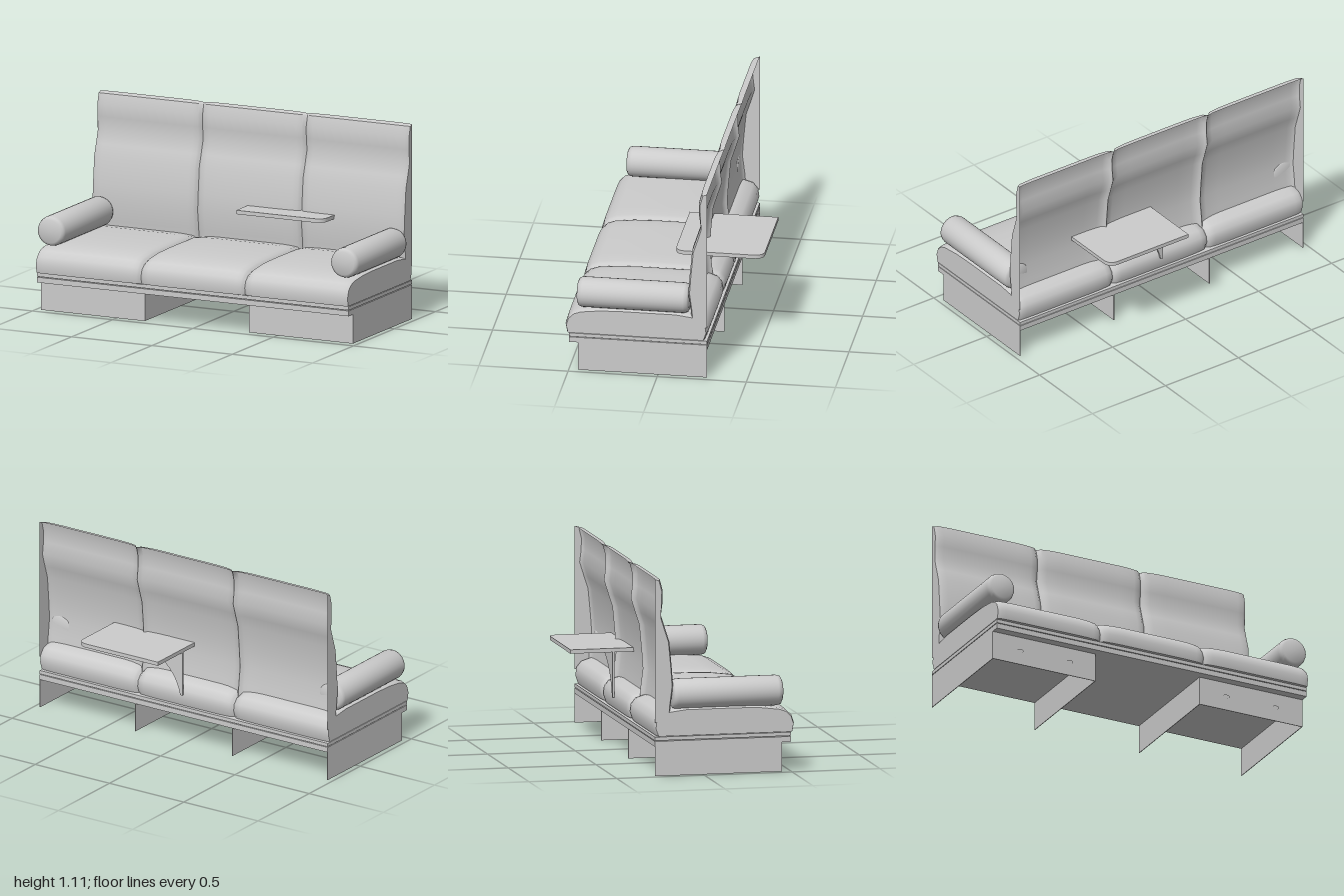
import * as THREE from 'three';
import { toCreasedNormals } from 'three/addons/utils/BufferGeometryUtils.js';

const grey = new THREE.MeshStandardMaterial({ color: 0xcccccc, side: THREE.DoubleSide });
const SEAM = 0.323, END = 0.97;

function add(parent, name, geometry, x = 0, y = 0, z = 0) {
  const mesh = new THREE.Mesh(geometry, grey);
  mesh.name = name;
  mesh.position.set(x, y, z);
  parent.add(mesh);
  return mesh;
}

function box(parent, name, [x0, x1], [y0, y1], [z0, z1]) {
  return add(parent, name, new THREE.BoxGeometry(x1 - x0, y1 - y0, z1 - z0),
    (x0 + x1) / 2, (y0 + y1) / 2, (z0 + z1) / 2);
}

// How far the padding sinks in at distance d from a seam
const sink = (d) => 0.016 * Math.max(0, 1 - d / 0.02) + 0.012 * Math.max(0, 1 - d / 0.14) ** 2;
const seamDistance = (x) => Math.abs(Math.abs(x) - SEAM);

// Stations along x, closer together near the seams and ends
function stations() {
  const edges = [-END, -SEAM, SEAM, END], xs = [];
  for (let k = 0; k < 3; k++) {
    const a = edges[k], b = edges[k + 1];
    const steps = [0, 0.01, 0.02, 0.05, 0.09, 0.14];
    steps.forEach((s) => xs.push(a + s));
    xs.push((a + b) / 2);
    steps.slice(1).reverse().forEach((s) => xs.push(b - s));
  }
  xs.push(END);
  return xs;
}

// Skin [z, y] sections along x and close both ends with a fan round hub
function loft(section, hub) {
  const xs = stations(), n = section(0).length, pos = [], index = [];
  xs.forEach((x) => section(x).forEach(([z, y]) => pos.push(x, y, z)));
  for (let i = 0; i < xs.length - 1; i++) {
    for (let j = 0; j < n - 1; j++) {
      const a = i * n + j, b = a + n;
      index.push(a, b, a + 1, b, b + 1, a + 1);
    }
  }
  [0, xs.length - 1].forEach((i, right) => {
    const c = pos.length / 3;
    pos.push(xs[i], hub[1], hub[0]);
    for (let j = 0; j < n - 1; j++) {
      const a = i * n + j;
      if (right) index.push(c, a + 1, a);
      else index.push(c, a, a + 1);
    }
  });
  const g = new THREE.BufferGeometry();
  g.setAttribute('position', new THREE.Float32BufferAttribute(pos, 3));
  g.setIndex(index);
  return toCreasedNormals(g, 0.9);
}

const SEAT = [[0.515, 0.222], [0.524, 0.27], [0.51, 0.315], [0.48, 0.345], [0.44, 0.36], [0.33, 0.374],
  [0.2, 0.378], [-0.1, 0.378], [-0.19, 0.367], [-0.245, 0.35], [-0.272, 0.315], [-0.278, 0.27],
  [-0.262, 0.222], [0.515, 0.222]];

const BACK = [[-0.185, 0.3], [-0.176, 0.4], [-0.163, 0.5], [-0.17, 0.6], [-0.184, 0.75], [-0.207, 0.82],
  [-0.232, 0.9], [-0.223, 0.97], [-0.222, 1.04], [-0.238, 1.1], [-0.275, 1.108]];

function seatSection(x) {
  const s = sink(seamDistance(x)) + 0.4 * sink(END - Math.abs(x));
  return SEAT.map(([z, y]) => [0.12 + (z - 0.12) * (1 - s / 0.5), y - s * (y - 0.222) / 0.156]);
}

function backSection(x) {
  const s = sink(seamDistance(x)) + 0.5 * sink(END - Math.abs(x));
  return BACK.map(([z, y]) => [Math.max(z - s, -0.275), y - (y > 1 ? 0.25 * s : 0)]);
}

// Drawer base: front board and two sides, open below and behind
function base(parent, side) {
  const g = new THREE.Group();
  g.name = side > 0 ? 'leftBase' : 'rightBase';
  const t = 0.004, xi = 0.325, y = [0, 0.165];
  const span = (a, b) => [Math.min(side * a, side * b), Math.max(side * a, side * b)];
  box(g, 'baseFront', span(xi, END), y, [0.45 - t, 0.45]);
  box(g, 'innerSide', span(xi, xi + t), y, [-0.275, 0.45]);
  box(g, 'outerSide', span(END - t, END), y, [-0.275, 0.45]);
  for (const x of [0.49, 0.8]) {
    add(g, 'drawerPull', new THREE.CircleGeometry(0.02, 16), side * x, 0.08, 0.457).scale.y = 0.55;
  }
  parent.add(g);
}

// Cylinder with softened rims, lying along z
function bolsterGeometry() {
  const r = 0.085, h = 0.3125;
  const profile = [[0, -h], [r - 0.02, -h], [r - 0.006, -h + 0.008], [r, -h + 0.028],
    [r, h - 0.028], [r - 0.006, h - 0.008], [r - 0.02, h], [0, h]];
  const g = new THREE.LatheGeometry(profile.map(([a, b]) => new THREE.Vector2(a, b)), 28);
  return toCreasedNormals(g.rotateX(Math.PI / 2), 0.8);
}

// Table top with two rounded corners on its outer side
function tableGeometry() {
  const s = new THREE.Shape(), w = 0.54, a = 0.03, b = 0.527, r = 0.06;
  s.moveTo(0, a);
  s.lineTo(w - r, a);
  s.quadraticCurveTo(w, a, w, a + r);
  s.lineTo(w, b - r);
  s.quadraticCurveTo(w, b, w - r, b);
  s.lineTo(0, b);
  s.closePath();
  const g = new THREE.ExtrudeGeometry(s, { depth: 0.022, bevelEnabled: false, curveSegments: 8 });
  return toCreasedNormals(g.rotateX(-Math.PI / 2), 0.6);
}

// Curved plate that carries the table behind the backrest
function bracketGeometry() {
  const s = new THREE.Shape();
  s.moveTo(0, 0.29);
  s.lineTo(0.015, 0.29);
  s.quadraticCurveTo(0.05, 0.47, 0.27, 0.546);
  s.lineTo(0, 0.546);
  s.closePath();
  return new THREE.ExtrudeGeometry(s, { depth: 0.01, bevelEnabled: false, curveSegments: 10 });
}

export function createModel() {
  const model = new THREE.Group();
  model.name = 'bench';

  // Base and deck
  base(model, 1);
  base(model, -1);
  box(model, 'lowerDeck', [-END, END], [0.165, 0.195], [-0.275, 0.5]);
  box(model, 'upperDeck', [-END, END], [0.199, 0.219], [-0.275, 0.5]);

  // Padding
  add(model, 'seatCushions', loft(seatSection, [0.12, 0.29]));
  add(model, 'backrest', loft(backSection, [-0.275, 0.3]));
  for (const side of [1, -1]) {
    add(model, side > 0 ? 'leftBolster' : 'rightBolster', bolsterGeometry(), side * 0.913, 0.45, 0.1425);
  }

  // Side table
  add(model, 'tableTop', tableGeometry(), 0, 0.546, 0);
  add(model, 'tableBracket', bracketGeometry(), 0, 0, -0.287);
  return model;
}
